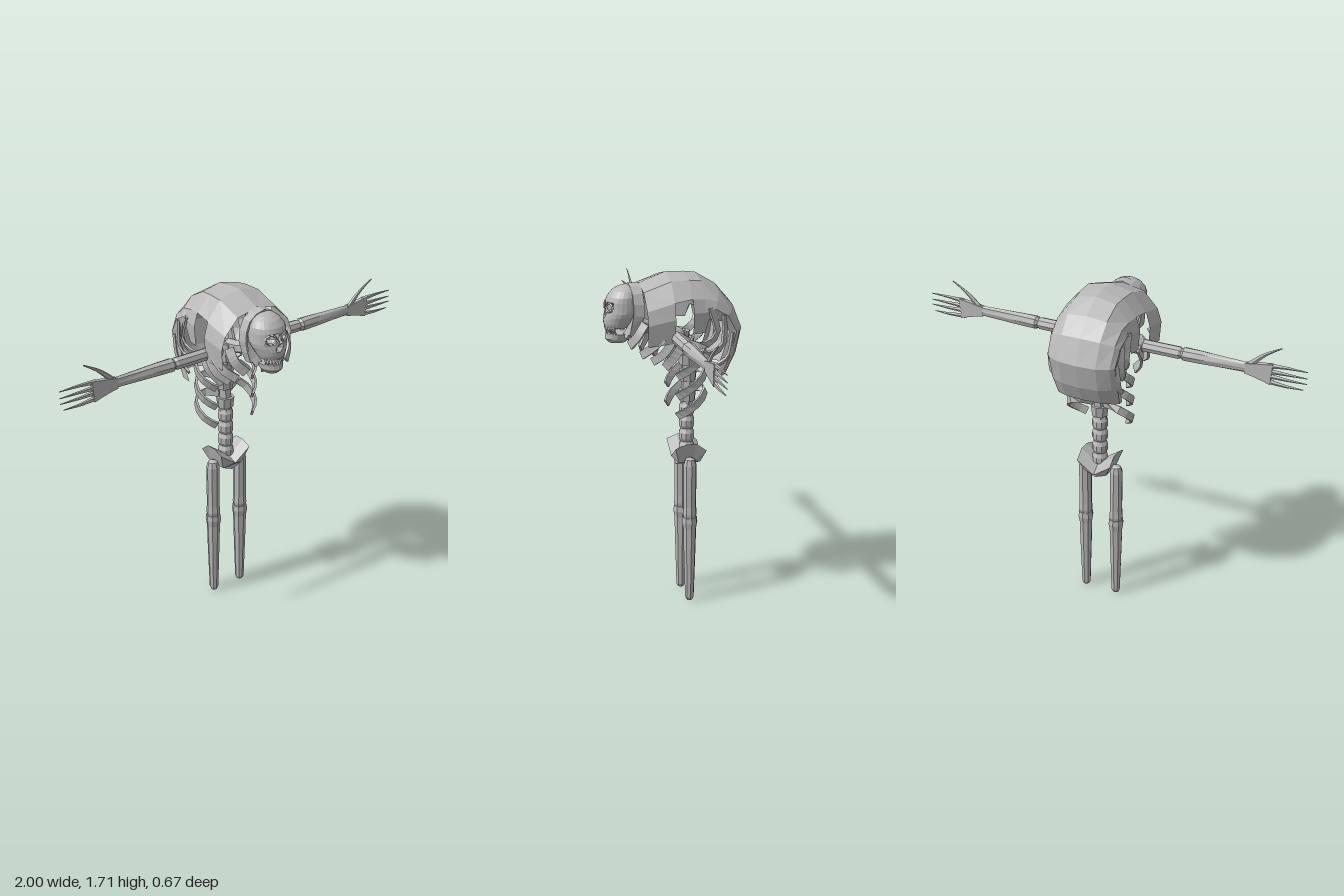
import * as THREE from 'three';

const V = (x, y, z) => new THREE.Vector3(x, y, z);
const bone = new THREE.MeshStandardMaterial({ color: 0xb8b8b8 });
bone.name = 'boneGrey';
const sheet = new THREE.MeshStandardMaterial({ color: 0xb8b8b8, side: THREE.DoubleSide });
sheet.name = 'boneGreySheet';

// Faceted mesh
function part(name, geo, parent, mat = bone) {
  const g = geo.index ? geo.toNonIndexed() : geo;
  g.computeVertexNormals();
  const m = new THREE.Mesh(g, mat);
  m.name = name;
  parent.add(m);
  return m;
}

// Skin over rings of points that run counterclockwise about the loft direction
function loft(rings) {
  const n = rings[0].length, pos = [], idx = [];
  rings.forEach(r => r.forEach(p => pos.push(p.x, p.y, p.z)));
  for (let i = 0; i < rings.length - 1; i++) for (let j = 0; j < n; j++) {
    const a = i * n + j, b = i * n + (j + 1) % n;
    idx.push(a, b, b + n, a, b + n, a + n);
  }
  const top = (rings.length - 1) * n;
  for (let j = 1; j < n - 1; j++) idx.push(0, j + 1, j, top, top + j, top + j + 1);
  const g = new THREE.BufferGeometry();
  g.setAttribute('position', new THREE.Float32BufferAttribute(pos, 3));
  g.setIndex(idx);
  return g;
}

// Sweep along a curve; size(u) gives [thickness, width] half sizes
function sweep(pts, size, sides = 4, steps = 6, outward = p => V(p.x, 0, p.z + 0.05)) {
  const curve = new THREE.CatmullRomCurve3(pts), rings = [];
  for (let i = 0; i <= steps; i++) {
    const u = i / steps, p = curve.getPoint(u), t = curve.getTangent(u);
    const n = outward(p);
    n.addScaledVector(t, -n.dot(t)).normalize();
    const b = t.clone().cross(n), [h, w] = size(u), k = sides === 4 ? Math.SQRT2 : 1;
    rings.push(Array.from({ length: sides }, (_, j) => {
      const a = (j + 0.5) / sides * Math.PI * 2;
      return p.clone().addScaledVector(n, h * k * Math.cos(a)).addScaledVector(b, w * k * Math.sin(a));
    }));
  }
  return loft(rings);
}

const lathe = (pts, sides = 8) => new THREE.LatheGeometry(pts.map(p => new THREE.Vector2(p[0], p[1])), sides);
const oval = ([y, w, zf, zb], n) => Array.from({ length: n }, (_, j) => {
  const a = j / n * Math.PI * 2;
  return V(w * Math.sin(a), y, (zf + zb) / 2 + (zf - zb) / 2 * Math.cos(a));
});

// Curved back shell: ridge z, ridge y, inward z, inward y, half width, side depth
function shell() {
  const st = [
    [0.165, 1.66, 0, -1, 0.21, 0.27], [0.03, 1.71, 0, -1, 0.21, 0.31],
    [-0.06, 1.708, 0, -1, 0.2, 0.27], [-0.12, 1.7, 0, -1, 0.19, 0.26],
    [-0.22, 1.64, 0.5, -0.87, 0.185, 0.16], [-0.29, 1.557, 0.8, -0.6, 0.18, 0.11],
    [-0.336, 1.435, 1, 0, 0.175, 0.09], [-0.31, 1.31, 0.98, 0.1, 0.172, 0.1],
    [-0.27, 1.226, 0.95, -0.2, 0.165, 0.11]];
  const half = [[0, 0], [0.55, 0.09], [0.9, 0.38], [1, 0.62], [0.96, 1]];
  const cross = [...half.slice(1).reverse().map(([x, d]) => [-x, d]), ...half];
  const pos = [], idx = [];
  for (const [z, y, dz, dy, w, d] of st)
    for (const [x, k] of cross) pos.push(x * w, y + dy * d * k, z + dz * d * k);
  for (let i = 0; i < st.length - 1; i++) for (let j = 0; j < 8; j++) {
    if (i === 1 && (j < 2 || j > 5)) continue; // shoulder opening
    const a = i * 9 + j;
    idx.push(a, a + 1, a + 10, a, a + 10, a + 9);
  }
  const g = new THREE.BufferGeometry();
  g.setAttribute('position', new THREE.Float32BufferAttribute(pos, 3));
  g.setIndex(idx);
  return g;
}

function head(root) {
  const g = new THREE.Group();
  g.name = 'head';
  root.add(g);
  // Cranium, with eye and nose hollows pressed in
  const levels = [[1.455, 0.062, 0.33, 0.21], [1.475, 0.072, 0.337, 0.19], [1.495, 0.08, 0.338, 0.175],
    [1.51, 0.088, 0.335, 0.165], [1.53, 0.093, 0.33, 0.16], [1.548, 0.092, 0.328, 0.156],
    [1.565, 0.091, 0.327, 0.155], [1.582, 0.09, 0.325, 0.157], [1.605, 0.086, 0.316, 0.16],
    [1.632, 0.068, 0.293, 0.166], [1.648, 0.046, 0.268, 0.178], [1.656, 0.022, 0.245, 0.2]];
  const skull = loft(levels.map(l => oval(l, 24)));
  const p = skull.attributes.position;
  for (let i = 0; i < p.count; i++) {
    if (p.getZ(i) < 0.27) continue;
    const eye = Math.hypot(Math.abs(p.getX(i)) - 0.04, p.getY(i) - 1.556);
    const nose = Math.hypot(p.getX(i), p.getY(i) - 1.51);
    if (eye < 0.024) p.setZ(i, p.getZ(i) - 0.035);
    else if (nose < 0.013) p.setZ(i, p.getZ(i) - 0.02);
  }
  part('skull', skull, g);
  part('jaw', loft([[1.378, 0.035, 0.312, 0.23], [1.398, 0.053, 0.332, 0.205], [1.424, 0.058, 0.328, 0.2]]
    .map(l => oval(l, 14))), g);
  for (const s of [1, -1]) {
    const rim = new THREE.TorusGeometry(0.027, 0.006, 4, 10).scale(1, 0.8, 1);
    rim.rotateY(s * 0.4).translate(s * 0.04, 1.556, 0.316);
    part('eyeRim', rim, g);
    part('jawHinge', sweep([V(s * 0.05, 1.41, 0.24), V(s * 0.068, 1.46, 0.215), V(s * 0.08, 1.52, 0.2)],
      () => [0.008, 0.02], 4, 3), g);
  }
  // Teeth
  for (let i = -4; i <= 4; i++) {
    const a = i * 0.27, x = Math.sin(a), z = Math.cos(a);
    part('upperTooth', new THREE.ConeGeometry(0.01, 0.034, 4).rotateX(Math.PI)
      .translate(x * 0.06, 1.443, 0.27 + z * 0.055), g);
    part('lowerTooth', new THREE.ConeGeometry(0.009, 0.026, 4)
      .translate(x * 0.052, 1.434, 0.264 + z * 0.055), g);
  }
  // Band behind the skull
  part('headBand', sweep([V(0.08, 1.42, 0.205), V(0.1, 1.52, 0.185), V(0.075, 1.62, 0.185), V(0, 1.66, 0.19),
    V(-0.075, 1.62, 0.185), V(-0.1, 1.52, 0.185), V(-0.08, 1.42, 0.205)],
    () => [0.005, 0.026], 4, 12, q => V(q.x, q.y - 1.5, 0)), g);
}

function arm(s, root) {
  const g = new THREE.Group();
  g.name = s > 0 ? 'leftArm' : 'rightArm';
  g.position.set(0, 1.425, 0.02);
  root.add(g);
  const along = geo => geo.rotateZ(-s * Math.PI / 2);
  part('shoulder', new THREE.IcosahedronGeometry(0.05, 1).translate(s * 0.15, 0, 0), g);
  part('upperArm', along(lathe([[0, 0.1], [0.031, 0.11], [0.031, 0.37], [0.022, 0.385], [0, 0.385]])), g);
  const fore = lathe([[0, 0.38], [0.022, 0.38], [0.034, 0.395], [0.034, 0.48], [0.026, 0.73], [0, 0.75]]);
  const p = fore.attributes.position;
  for (let i = 0; i < p.count; i++) p.setZ(i, p.getZ(i) * (1 - 0.6 * Math.max(0, p.getY(i) - 0.4) / 0.35));
  part('forearm', along(fore), g);
  const side = () => V(0, 0, 1);
  part('palm', sweep([V(s * 0.7, -0.002, 0), V(s * 0.77, -0.004, 0), V(s * 0.83, -0.009, 0)],
    u => [0.013 - 0.003 * u, 0.025 + 0.027 * u], 4, 3, side), g);
  [0.038, 0.005, -0.023, -0.056].forEach((y, i) => part('finger',
    sweep([V(s * 0.81, y * 0.85, 0), V(s * 0.9, y, 0), V(s * (i === 3 ? 0.985 : 1), y, 0)],
      u => [0.009 - 0.007 * u, 0.014 - 0.012 * u], 5, 4, side), g));
  part('thumb', sweep([V(s * 0.72, 0.015, 0), V(s * 0.765, 0.06, 0), V(s * 0.81, 0.095, 0), V(s * 0.87, 0.13, 0)],
    u => [0.01 - 0.008 * u, 0.016 - 0.013 * u], 5, 5, side), g);
}

export function createModel() {
  const root = new THREE.Group();
  root.name = 'hunchedSkeleton';
  part('backShell', shell(), root, sheet);
  head(root);

  // Spine
  const lumbar = [[0, 0.76]];
  for (let i = 0; i < 4; i++) lumbar.push([0.04, 0.79 + i * 0.068], [0.04, 0.82 + i * 0.068], [0.031, 0.842 + i * 0.068]);
  part('lumbarSpine', lathe([...lumbar, [0, 1.06]], 10).translate(0, 0, -0.08), root);
  const up = [V(0, 1.03, -0.08), V(0, 1.2, -0.085), V(0, 1.33, -0.07), V(0, 1.41, -0.04)];
  const front = () => V(0, 0, 1);
  part('upperSpine', sweep(up, () => [0.033, 0.034], 6, 8, front), root);
  const upCurve = new THREE.CatmullRomCurve3(up);
  for (let i = 0; i < 5; i++) {
    const c = upCurve.getPoint(0.1 + i * 0.2);
    part('vertebra', new THREE.CylinderGeometry(0.046, 0.04, 0.055, 8).translate(c.x, c.y, c.z), root);
  }
  part('neck', sweep([V(0, 1.4, -0.05), V(0, 1.42, 0.06), V(0, 1.48, 0.2)],
    () => [0.032, 0.032], 6, 5, () => V(1, 0, 0)), root);

  // Pelvis, narrowing towards its floor
  const outline = new THREE.Shape([[0, 0.785], [-0.09, 0.85], [-0.06, 0.745], [0, 0.72], [0.06, 0.745], [0.09, 0.85]]
    .map(q => new THREE.Vector2(...q)));
  const hip = new THREE.ExtrudeGeometry(outline, { depth: 0.16, steps: 3, bevelEnabled: false }).translate(0, 0, -0.16);
  const hp = hip.attributes.position;
  for (let i = 0; i < hp.count; i++) {
    const y = hp.getY(i), z = hp.getZ(i);
    if (y < 0.76) hp.setZ(i, -0.08 + (z + 0.08) * 0.7);
    else hp.setY(i, y - (z < -0.12 ? 0.04 : z > -0.03 ? 0.02 : 0));
  }
  part('pelvis', hip, root);

  // Ribs: points given for the left side, strip half width last
  const ribs = [
    ['frontRib', 0.022, [0.17, 1.5, 0.17], [0.165, 1.44, 0.205], [0.12, 1.385, 0.235]],
    ['frontRib', 0.02, [0.195, 1.43, 0.09], [0.18, 1.38, 0.14], [0.13, 1.335, 0.18]],
    ['frontRib', 0.02, [0.195, 1.42, 0.04], [0.18, 1.35, 0.08], [0.13, 1.3, 0.125]],
    ['frontRib', 0.022, [0.18, 1.43, -0.03], [0.175, 1.34, 0.02], [0.12, 1.265, 0.06]],
    ['backRib', 0.018, [0.18, 1.56, -0.15], [0.182, 1.43, -0.18], [0.16, 1.37, -0.11], [0.12, 1.39, -0.03]],
    ['backRib', 0.018, [0.175, 1.52, -0.22], [0.175, 1.37, -0.21], [0.15, 1.32, -0.13], [0.11, 1.35, -0.04]],
    ['backRib', 0.018, [0.17, 1.43, -0.265], [0.17, 1.31, -0.24], [0.155, 1.25, -0.17]]];
  for (const y of [1.33, 1.23, 1.13]) ribs.push(['lowerRib', 0.019, [0.03, y, -0.1], [0.12, y + 0.01, -0.14],
    [0.165, y - 0.035, -0.1], [0.155, y - 0.085, -0.04], [0.11, y - 0.12, -0.005]]);

  for (const s of [1, -1]) {
    for (const [name, w, ...pts] of ribs)
      part(name, sweep(pts.map(q => V(s * q[0], q[1], q[2])), () => [0.006, w], 4, 7), root);
    arm(s, root);
    // Leg: thigh and tapering shin
    const leg = new THREE.Group();
    leg.name = s > 0 ? 'leftLeg' : 'rightLeg';
    leg.position.set(s * 0.086, 0, -0.075);
    root.add(leg);
    part('thigh', lathe([[0, 0.445], [0.03, 0.445], [0.036, 0.48], [0.033, 0.52], [0.034, 0.74], [0.025, 0.77], [0, 0.782]]), leg);
    part('shin', lathe([[0, 0], [0.016, 0.004], [0.023, 0.02], [0.031, 0.28], [0.034, 0.4], [0.04, 0.435], [0.037, 0.462], [0, 0.462]]), leg);
  }
  return root;
}
